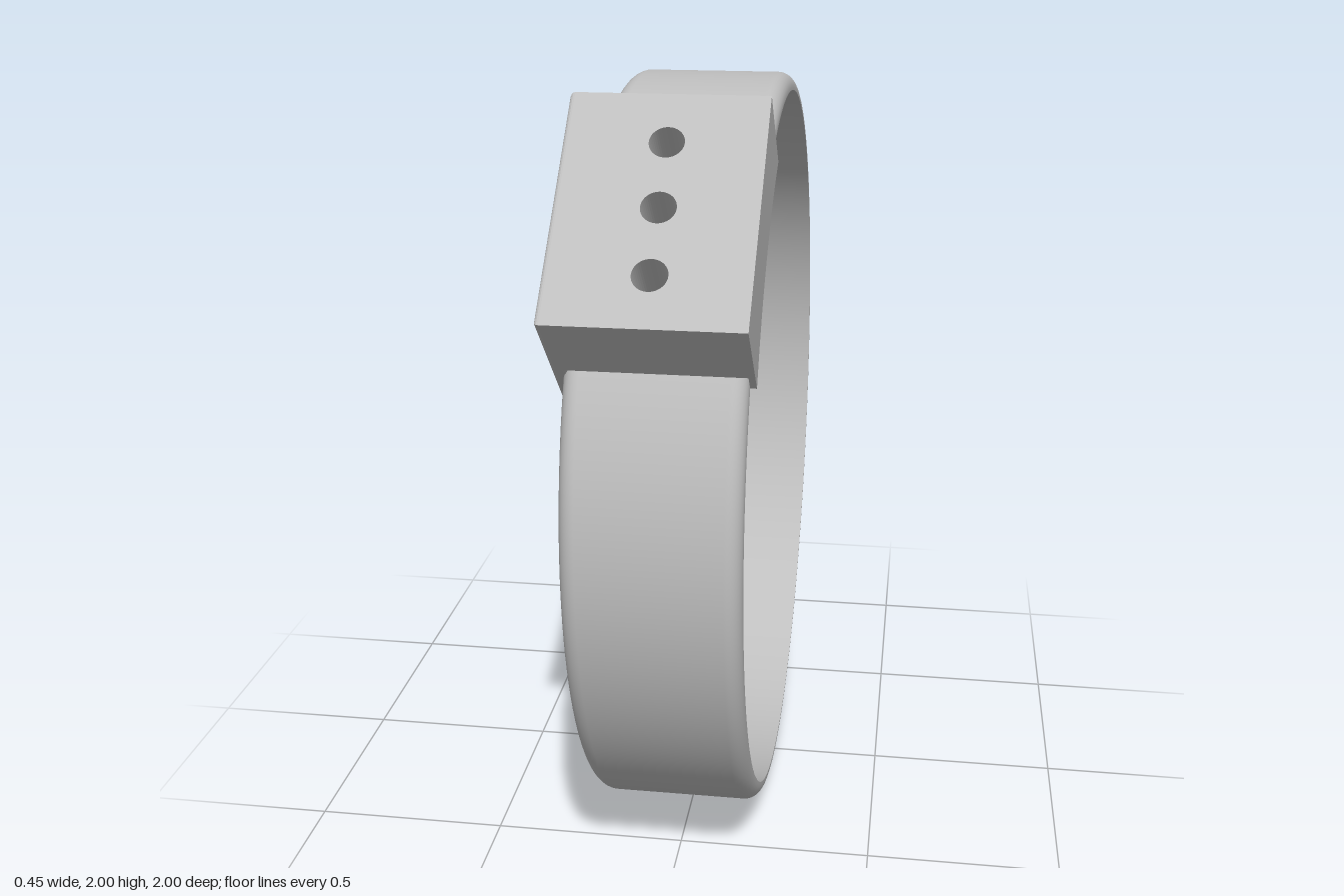
import * as THREE from 'three';

const OUTER = 0.983, INNER = 0.937, FILLET = 0.04;
const BACK = -0.205, RIM = 0.21, FLOOR = -0.145, STEP = -0.172;
const HALF = 0.297, TOP = 1.141;            // block half width and outer radius
const HOLE = 0.04, HEX = 0.0775, PITCH = 0.168, HOLE_X = 0.005;
const NUT_R = 0.788;                        // radius at which the floor nut sits

// Local frame: x is the wheel axis, y points out through the block, z is the tangent.
export function createModel() {
  const grey = new THREE.MeshStandardMaterial({ color: 0xbfbfbf, side: THREE.DoubleSide });
  grey.name = 'light grey';
  const wheel = new THREE.Group();
  wheel.name = 'wheel';
  wheel.rotation.x = Math.PI / 4;
  wheel.position.set(0, OUTER, -0.017);

  const add = (name, geometry) => {
    const mesh = new THREE.Mesh(geometry, grey);
    mesh.name = name;
    wheel.add(mesh);
  };

  // Outlines
  const circle = (r, x = 0, y = 0, Type = THREE.Path) => new Type().absarc(x, y, r, 0, Math.PI * 2, false);
  const hexagon = (r, x, y, turn) => new THREE.Path().setFromPoints(
    Array.from({ length: 7 }, (_, i) => new THREE.Vector2(
      x + r * Math.cos(turn + i * Math.PI / 3), y + r * Math.sin(turn + i * Math.PI / 3))));
  const boltHoles = (r) => Array.from({ length: 6 }, (_, i) => {
    const a = Math.PI / 4 + i * Math.PI / 3;
    return circle(r, 0.24 * Math.cos(a), 0.24 * Math.sin(a));
  });
  const arcPlate = (r) => {
    const a = Math.acos(HALF / r);
    return new THREE.Shape().absarc(0, 0, r, Math.PI - a, a, true).lineTo(HALF, TOP).lineTo(-HALF, TOP);
  };

  // Extrude along the axis from x0 to x1, or outward from y0 to y1
  const alongAxis = (shape, holes, x0, x1, bevel = 0) => {
    shape.holes.push(...holes);
    return new THREE.ExtrudeGeometry(shape, {
      depth: x1 - x0 - 2 * bevel, curveSegments: 48, bevelEnabled: bevel > 0,
      bevelThickness: bevel, bevelSize: bevel, bevelOffset: -bevel, bevelSegments: 4,
    }).translate(0, 0, x0 + bevel).rotateY(Math.PI / 2);
  };
  const outward = (shape, holes, y0, y1) => {
    shape.holes.push(...holes);
    return new THREE.ExtrudeGeometry(shape, { depth: y1 - y0, curveSegments: 24, bevelEnabled: false })
      .rotateX(-Math.PI / 2).translate(0, y0, 0);
  };

  // Revolve [radius, x] points about the axis, leaving a gap of half angle g under the block
  const revolve = (points, g = 0) => new THREE.LatheGeometry(
    points.map(([r, x]) => new THREE.Vector2(r, x)), 128, -Math.PI / 2 + g, 2 * Math.PI - 2 * g)
    .rotateZ(-Math.PI / 2);

  // Outer shell with rounded edges
  const shell = [];
  for (let i = 0; i <= 8; i++) {
    const a = i / 8 * Math.PI / 2;
    shell.push([OUTER - FILLET + FILLET * Math.sin(a), BACK + FILLET - FILLET * Math.cos(a)]);
  }
  for (let i = 0; i <= 8; i++) {
    const a = i / 8 * Math.PI / 2;
    shell.push([OUTER - FILLET + FILLET * Math.cos(a), RIM - FILLET + FILLET * Math.sin(a)]);
  }
  shell.push([INNER, RIM]);
  add('outerShell', revolve(shell, Math.asin(0.25 / OUTER)));

  // Inner wall, in three bands around the row of bolt holes
  const bandLow = HOLE_X - PITCH / 2, bandHigh = HOLE_X + PITCH / 2;
  add('innerWallBack', revolve([[INNER, bandLow], [INNER, FLOOR]]));
  add('innerWallMiddle', revolve([[INNER, bandHigh], [INNER, bandLow]], Math.asin(1.5 * PITCH / INNER)));
  add('innerWallFront', revolve([[INNER, RIM], [INNER, bandHigh]]));

  // Square patch of inner wall around one opening, with a short skirt into the block
  const wallPatch = (t0, openingRadius) => {
    const N = 48, ROWS = 5, pos = [], index = [];
    for (let j = -1; j <= ROWS; j++) {
      for (let i = 0; i <= N; i++) {
        const a = i / N * Math.PI * 2, c = Math.cos(a), s = Math.sin(a);
        const edge = PITCH / 2 / Math.max(Math.abs(c), Math.abs(s));
        const r = THREE.MathUtils.lerp(openingRadius(a), edge, Math.max(j, 0) / ROWS);
        const t = t0 + r * s;
        pos.push(HOLE_X + r * c, j < 0 ? 0.94 : Math.sqrt(INNER * INNER - t * t), t);
      }
    }
    for (let j = 0; j <= ROWS; j++) {
      for (let i = 0; i < N; i++) {
        const a = j * (N + 1) + i, b = a + N + 1;
        index.push(a, b, a + 1, b, b + 1, a + 1);
      }
    }
    const g = new THREE.BufferGeometry();
    g.setAttribute('position', new THREE.Float32BufferAttribute(pos, 3));
    g.setIndex(index);
    const flat = g.toNonIndexed();
    flat.computeVertexNormals();
    return flat;
  };
  const round = () => HOLE;
  const sixSided = (a) => {
    const k = Math.PI / 3;
    return HEX * Math.cos(k / 2) / Math.cos((a % k) - k / 2);
  };
  add('nutPocketWallLower', wallPatch(PITCH, sixSided));
  add('boltHoleWall', wallPatch(0, round));
  add('nutPocketWallUpper', wallPatch(-PITCH, sixSided));

  // Floor in two layers: counterbores behind, small holes and nut pocket in front
  const bore = () => circle(0.12);
  add('floorBack', alongAxis(circle(OUTER - FILLET, 0, 0, THREE.Shape),
    [bore(), ...boltHoles(0.065), circle(HOLE, 0, NUT_R)], BACK, STEP));
  add('floorFront', alongAxis(circle(0.94, 0, 0, THREE.Shape),
    [bore(), ...boltHoles(HOLE), hexagon(HEX, 0, NUT_R, Math.PI / 12)], STEP, FLOOR));
  add('hubBoss', alongAxis(circle(0.335, 0, 0, THREE.Shape),
    [bore(), ...boltHoles(HOLE)], FLOOR, FLOOR + 0.012));

  // Clamp block with three radial holes, two of them with nut pockets inside
  const blockOutline = () => new THREE.Shape().moveTo(-0.216, -HALF).lineTo(RIM, -HALF)
    .lineTo(RIM, HALF).lineTo(-0.216, HALF).closePath();
  add('blockBase', outward(blockOutline(), [
    hexagon(HEX, HOLE_X, -PITCH, 0), circle(HOLE, HOLE_X, 0), hexagon(HEX, HOLE_X, PITCH, 0),
  ], 0.938, 0.975));
  add('blockBody', outward(blockOutline(),
    [-PITCH, 0, PITCH].map((t) => circle(HOLE, HOLE_X, t)), 0.975, TOP));

  // Block cheeks: short one over the rim, long one down the back of the wheel
  add('rimCheek', alongAxis(arcPlate(INNER), [], RIM, 0.225));
  add('backPlate', alongAxis(arcPlate(0.628), [circle(HOLE, 0, NUT_R)], -0.228, -0.19, 0.012));

  const model = new THREE.Group();
  model.name = 'wheelWithBlock';
  model.add(wheel);
  return model;
}
